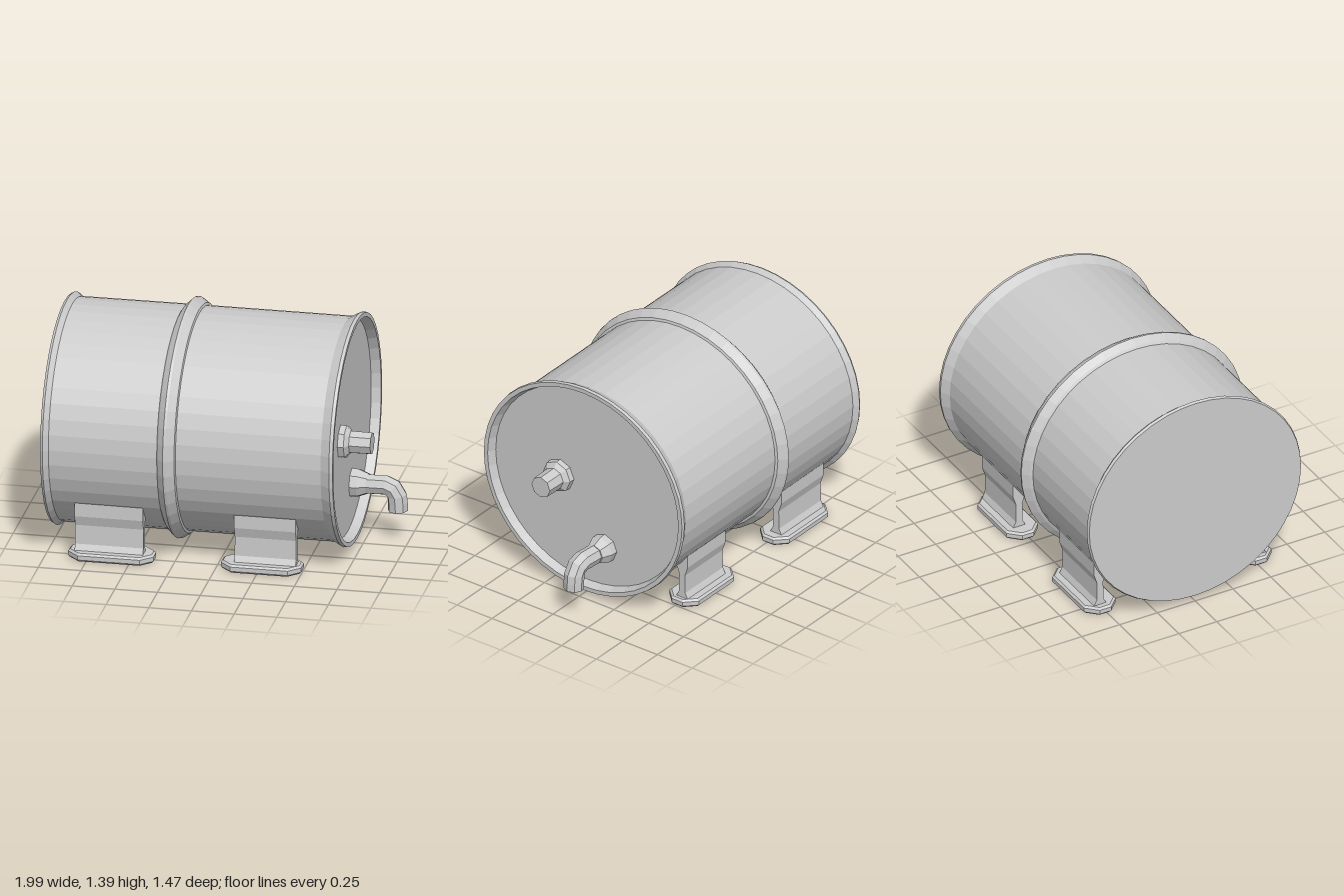
import * as THREE from 'three';

const CY = 0.697; // height of the barrel axis

export function createModel() {
  const group = new THREE.Group();
  const mat = new THREE.MeshStandardMaterial({ color: 0xcccccc, flatShading: true });
  const add = (name, geo, x = 0, y = 0, z = 0) => {
    const mesh = new THREE.Mesh(geo, mat);
    mesh.name = name;
    mesh.position.set(x, y, z);
    group.add(mesh);
    return mesh;
  };

  // Turn a [radius, x] profile around the x axis
  const turned = (profile, sides) => {
    const pts = profile.map(([r, x]) => new THREE.Vector2(r, x));
    return new THREE.LatheGeometry(pts, sides).rotateZ(-Math.PI / 2);
  };

  // Barrel shell with flat back end, middle hoop and raised lip around a recessed face
  const barrel = turned([
    [0, -1], [0.7, -1], [0.708, -0.985], [0.682, -0.955],
    [0.684, -0.32], [0.70, -0.31], [0.735, -0.275], [0.732, -0.26], [0.70, -0.215], [0.684, -0.21],
    [0.684, 0.64], [0.715, 0.695], [0.712, 0.715], [0.685, 0.715], [0.668, 0.66], [0, 0.66],
  ], 44);
  barrel.scale(1, 0.943, 1);
  add('barrel', barrel, 0, CY, 0);

  // Plug on the face
  add('plug', turned([
    [0.1, 0.65], [0.098, 0.695], [0.068, 0.72], [0.066, 0.845], [0, 0.845],
  ], 8), 0, 0.7, 0.205);

  // Tap: collar and bent spout
  add('tapCollar', turned([
    [0.088, 0.65], [0.085, 0.70], [0.06, 0.76], [0, 0.76],
  ], 8), 0, 0.325, -0.115);

  const bend = new THREE.CatmullRomCurve3([
    [0.68, 0.322, -0.112], [0.8, 0.325, -0.108], [0.875, 0.325, -0.104],
    [0.92, 0.295, -0.1], [0.932, 0.24, -0.1], [0.934, 0.18, -0.1],
  ].map((p) => new THREE.Vector3(...p)));
  add('tapSpout', new THREE.TubeGeometry(bend, 8, 0.059, 8), 0, 0, 0);
  add('spoutEnd', new THREE.CircleGeometry(0.058, 8).rotateX(Math.PI / 2), 0.934, 0.182, -0.1);

  // Upright web, flared where it meets the foot and the barrel
  const webGeometry = (width) => {
    const half = [[0.045, 0.04], [0.022, 0.085], [0.02, 0.2], [0.04, 0.26], [0.04, 0.36]];
    const outline = [...half, ...half.map(([z, y]) => [-z, y]).reverse()];
    const shape = new THREE.Shape(outline.map(([z, y]) => new THREE.Vector2(z, y)));
    const geo = new THREE.ExtrudeGeometry(shape, { depth: width, bevelEnabled: false });
    return geo.translate(0, 0, -width / 2).rotateY(-Math.PI / 2);
  };

  // Foot pad with cut corners and a bevelled edge
  const footGeometry = (length) => {
    const b = 0.012, a = length / 2 - b, w = 0.105 - b, c = 0.06;
    const shape = new THREE.Shape([
      [a, -w + c], [a, w - c], [a - c, w], [-a + c, w],
      [-a, w - c], [-a, -w + c], [-a + c, -w], [a - c, -w],
    ].map(([x, z]) => new THREE.Vector2(x, z)));
    const geo = new THREE.ExtrudeGeometry(shape, {
      depth: 0.05 - 2 * b, bevelThickness: b, bevelSize: b, bevelSegments: 1,
    });
    return geo.translate(0, 0, b).rotateX(-Math.PI / 2);
  };

  // Four supports
  const supports = [
    { webX: -0.625, webW: 0.4, footX: -0.615, footL: 0.5 },
    { webX: 0.29, webW: 0.36, footX: 0.265, footL: 0.47 },
  ];
  for (const s of supports) {
    for (const side of [1, -1]) {
      add('legWeb', webGeometry(s.webW), s.webX, 0, side * 0.528);
      add('foot', footGeometry(s.footL), s.footX, 0, side * 0.515);
    }
  }
  return group;
}
